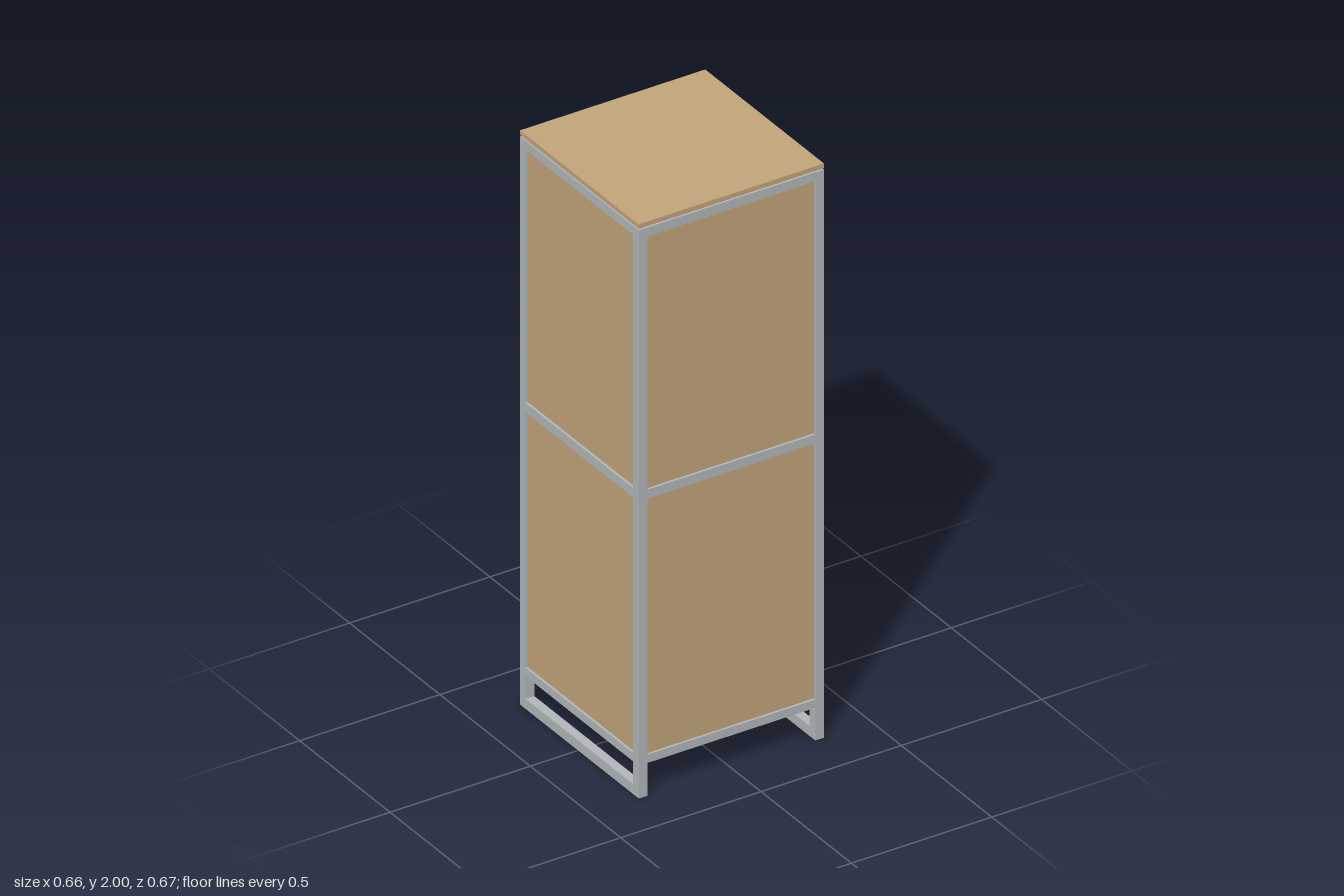
import * as THREE from 'three';

const wood = new THREE.MeshStandardMaterial({ color: 0xc4a57b });
wood.name = 'wood';
const steel = new THREE.MeshStandardMaterial({ color: 0xb2b8bc });
steel.name = 'steel';

// Box given by its minimum and maximum along each axis
function slab(parent, name, material, [x0, x1], [y0, y1], [z0, z1]) {
  const mesh = new THREE.Mesh(new THREE.BoxGeometry(x1 - x0, y1 - y0, z1 - z0), material);
  mesh.position.set((x0 + x1) / 2, (y0 + y1) / 2, (z0 + z1) / 2);
  mesh.name = name;
  parent.add(mesh);
  return mesh;
}

export function createModel() {
  const model = new THREE.Group();
  model.name = 'cabinet';

  const X = 0.33, ZB = -0.321, ZF = 0.336, T = 0.031; // outer frame and tube width
  const frameTop = 1.979;
  const rails = [[0.114, 0.143], [1.034, 1.066], [1.948, frameTop]];
  const bays = [[0.143, 1.034], [1.066, 1.948]];
  const xIn = [-X + T, X - T], zIn = [ZB + T, ZF - T];
  const xSides = [[-X, -X + T], [X - T, X]];
  const zSides = [[ZB, ZB + T], [ZF - T, ZF]];

  // Steel tube frame: posts, rails on all four sides, floor runners
  const frame = new THREE.Group();
  frame.name = 'frame';
  model.add(frame);
  for (const x of xSides) {
    for (const z of zSides) slab(frame, 'post', steel, x, [0, frameTop], z);
    for (const y of rails) slab(frame, 'sideRail', steel, x, y, zIn);
    slab(frame, 'floorRunner', steel, x, [0, 0.035], zIn);
  }
  for (const z of zSides) for (const y of rails) slab(frame, 'crossRail', steel, xIn, y, z);

  // Top board on a slightly inset spacer, and the floor board
  slab(model, 'topBoard', wood, [-X, X], [1.984, 2], [ZB, ZF]);
  slab(model, 'topSpacer', wood, [-X + 0.008, X - 0.008], [frameTop, 1.984], [ZB + 0.008, ZF - 0.008]);
  slab(model, 'floorBoard', wood, xIn, [0.122, 0.137], zIn);

  const gap = 0.007, doorX = 0.291, doorZ = -0.323;
  for (const [y0, y1] of bays) {
    // Fixed panels set a little back in the frame
    slab(model, 'frontPanel', wood, xIn, [y0, y1], [ZF - 0.022, ZF - 0.008]);
    slab(model, 'leftPanel', wood, [X - 0.022, X - 0.008], [y0, y1], zIn);
    slab(model, 'rightPanel', wood, [-X + 0.008, -X + 0.022], [y0, y1], zIn);
    // Door with a narrow gap all round
    slab(model, 'door', wood, [-doorX, doorX], [y0 + gap, y1 - gap], [doorZ, doorZ + 0.016]);
  }

  // Angled strip handles on the door edges
  for (const y of [[0.48, 0.963], [1.14, 1.622]]) {
    const handle = new THREE.Group();
    handle.name = 'handle';
    model.add(handle);
    slab(handle, 'handleWeb', steel, [0.291, 0.295], y, [-0.337, -0.307]);
    slab(handle, 'handleLip', steel, [0.273, 0.291], y, [-0.337, -0.333]);
  }
  return model;
}
